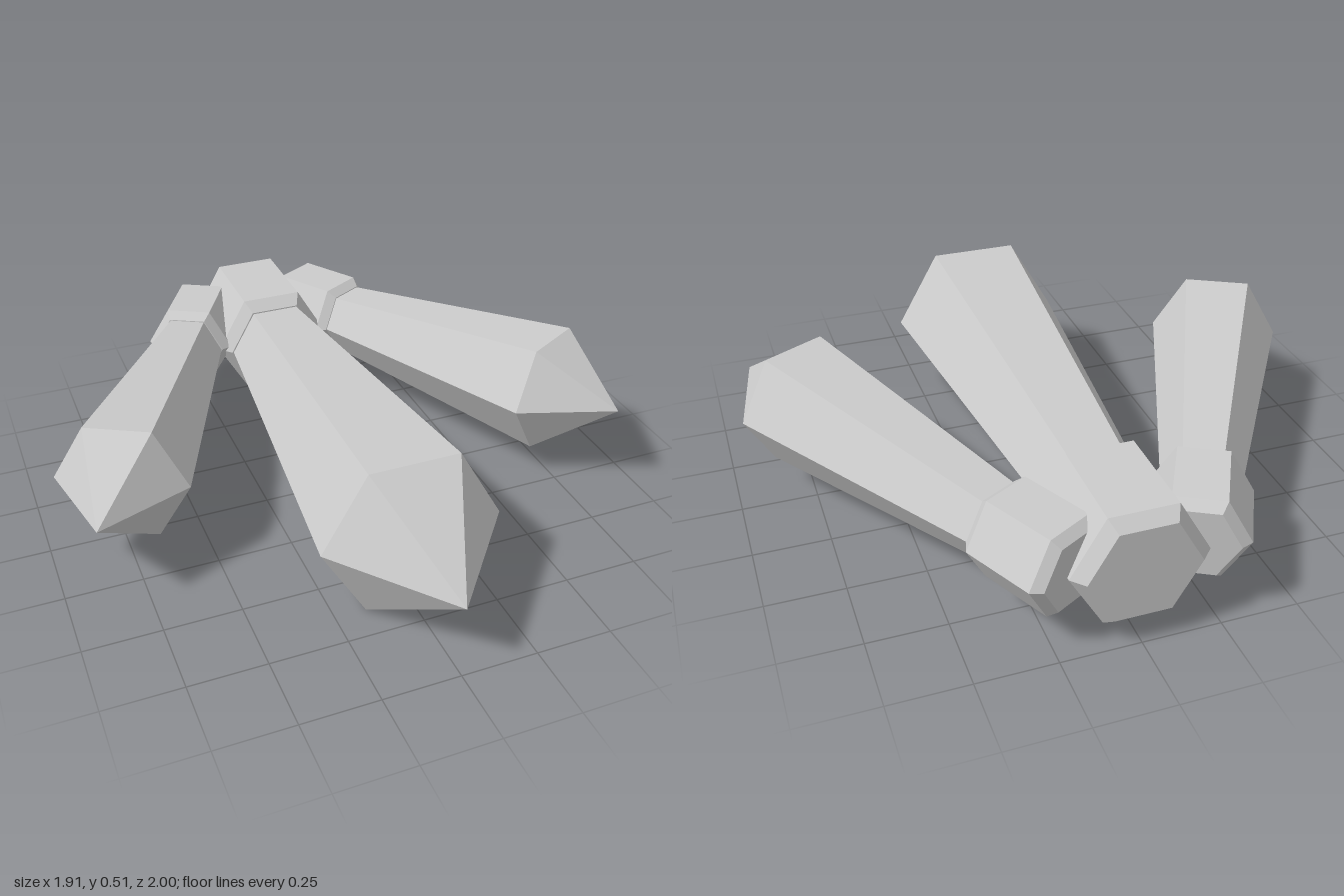
import * as THREE from 'three';

const material = new THREE.MeshStandardMaterial({ color: 0xcccccc, flatShading: true });

// Six-sided solid along z from [radius, z] pairs, with corners at +x and -x
function hexSolid(name, profile) {
  const points = profile.map(([r, z]) => new THREE.Vector2(r, z));
  const geometry = new THREE.LatheGeometry(points, 6, Math.PI / 6).rotateX(Math.PI / 2);
  const mesh = new THREE.Mesh(geometry, material);
  mesh.name = name;
  return mesh;
}

// One crystal: pointed shaft widening toward the tip, held in a chamfered collar
function crystal(name) {
  const group = new THREE.Group();
  group.name = name;
  group.add(
    hexSolid('shaft', [[0, -0.64], [0.165, -0.64], [0.295, 0.64], [0, 1]]),
    hexSolid('collar', [[0, -1], [0.174, -1], [0.213, -0.96], [0.213, -0.64], [0.174, -0.6], [0, -0.6]])
  );
  return group;
}

export function createModel() {
  const model = new THREE.Group();
  model.name = 'crystalCluster';

  // Large middle crystal
  const middle = crystal('middleCrystal');
  middle.position.y = 0.256;
  model.add(middle);

  // Smaller crystals fanned out to both sides and tilted slightly up
  for (const side of [1, -1]) {
    const outer = crystal(side > 0 ? 'leftCrystal' : 'rightCrystal');
    outer.scale.setScalar(0.742);
    outer.rotation.set(-0.04, side * 0.498, 0, 'YXZ');
    outer.position.set(side * 0.536, 0.29, -0.281);
    model.add(outer);
  }
  return model;
}
